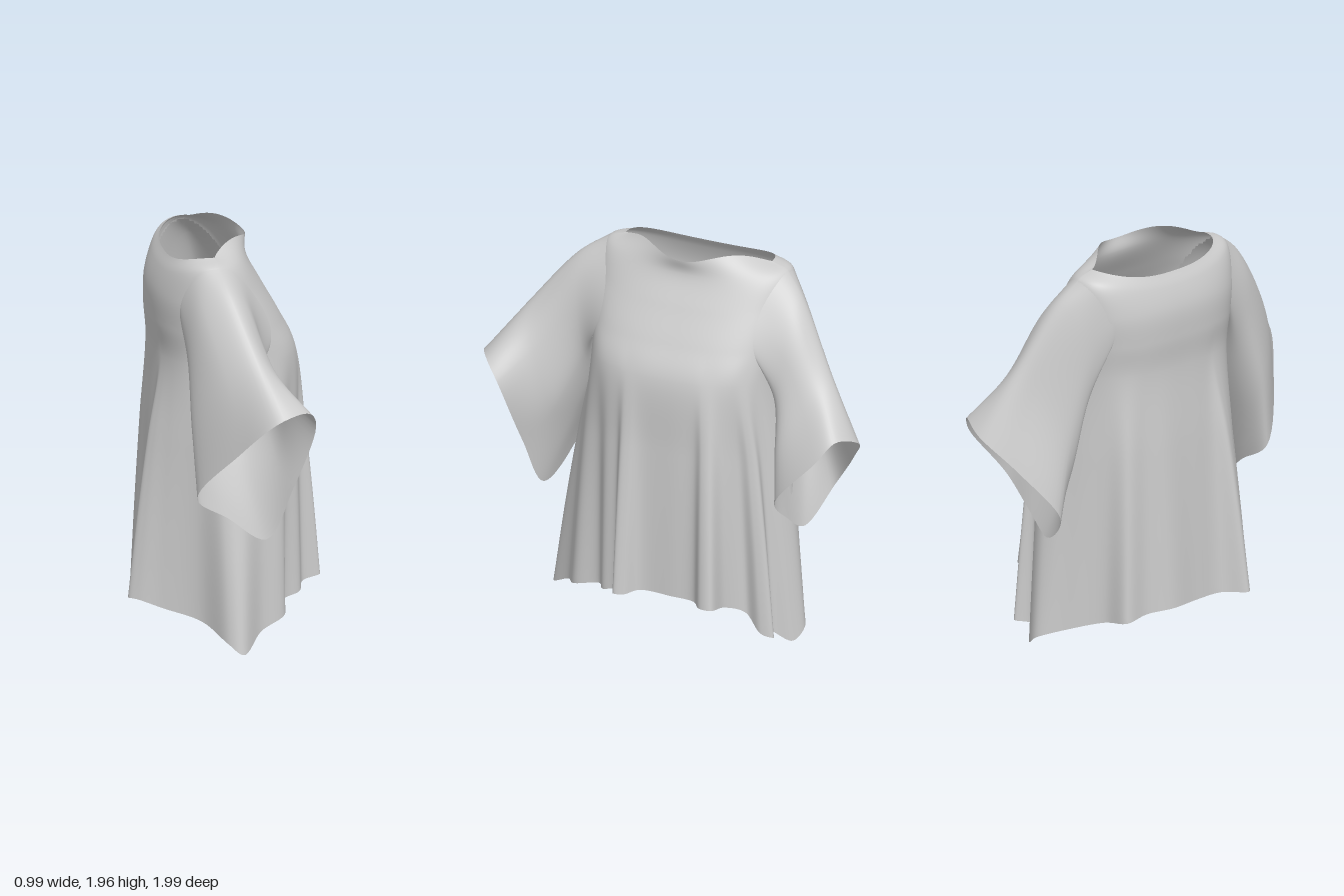
import * as THREE from 'three';

const V = (p) => new THREE.Vector3(...p);
const fabric = new THREE.MeshStandardMaterial({ color: 0xcccccc, side: THREE.DoubleSide });

// Smooth closed loop of n points through a few control points
function closedLoop(points, n) {
  const curve = new THREE.CatmullRomCurve3(points.map(V), true);
  return Array.from({ length: n }, (_, i) => curve.getPoint(i / n));
}

// Skin of smooth columns through matching closed rings; cut(column, ring) leaves faces out
function loft(name, rings, rows, flip, cut = () => false) {
  const n = rings[0].length, pos = [], index = [];
  const columns = rings[0].map((_, j) => new THREE.CatmullRomCurve3(rings.map((r) => r[j])));
  for (let i = 0; i <= rows; i++) {
    for (const column of columns) pos.push(...column.getPoint(i / rows).toArray());
  }
  for (let i = 0; i < rows; i++) {
    for (let j = 0; j < n; j++) {
      if (cut(j, i / rows * (rings.length - 1))) continue;
      const a = i * n + j, b = i * n + (j + 1) % n, c = a + n, d = b + n;
      if (flip) index.push(a, c, b, b, c, d);
      else index.push(a, b, c, b, d, c);
    }
  }
  const geo = new THREE.BufferGeometry();
  geo.setAttribute('position', new THREE.Float32BufferAttribute(pos, 3));
  geo.setIndex(index);
  geo.computeVertexNormals();
  const mesh = new THREE.Mesh(geo, fabric);
  mesh.name = name;
  return mesh;
}

// Point on a rounded ring: front/back depth, half width, corner exponents
function ringPoint(a, r) {
  const c = Math.cos(a), s = Math.sin(a);
  const e = c > 0 ? r.ef : r.eb;
  const ez = (c > 0 && r.efz) || e;
  const x = r.cx + (c > 0 ? r.xf - r.cx : r.cx - r.xb) * Math.sign(c) * Math.abs(c) ** e;
  const z = -0.05 + r.w * Math.sign(s) * Math.abs(s) ** ez;
  const wave = c > 0 ? (r.wave || 0) * (Math.sin(2 * a) * c) ** 2 : 0;
  const y = r.y + ((c > 0 ? r.yf : r.yb) - r.y) * c * c + wave;
  return new THREE.Vector3(x, y, z);
}

// Folded hem, running from the chest side round to the back
const hem = [
  [0.39, 0.26, -0.12], [0.39, 0.26, 0.05], [0.45, 0.25, 0.11], [0.46, 0.25, 0.16], [0.37, 0.23, 0.19],
  [0.34, 0.2, 0.27], [0.25, 0.18, 0.33], [0.23, 0.14, 0.47], [0.1, 0.09, 0.56], [-0.01, 0.01, 0.69],
  [-0.08, 0.06, 0.66], [-0.18, 0.13, 0.48], [-0.35, 0.17, 0.35], [-0.46, 0.2, 0.28], [-0.5, 0.2, 0.23],
  [-0.41, 0.2, 0.14], [-0.4, 0.2, -0.02], [-0.41, 0.2, -0.2], [-0.36, 0.19, -0.33], [-0.35, 0.17, -0.46],
  [-0.22, 0.15, -0.48], [-0.08, 0.11, -0.59], [0.05, 0.06, -0.68], [0.13, 0.01, -0.65], [0.19, 0.07, -0.57],
  [0.27, 0.08, -0.61], [0.29, 0.1, -0.55], [0.26, 0.18, -0.46], [0.36, 0.24, -0.39], [0.48, 0.27, -0.37],
  [0.48, 0.27, -0.31], [0.4, 0.26, -0.24],
];

// Neckline, shoulders, upper chest, and bust line
const bodyRings = [
  { cx: -0.09, xf: 0.125, xb: -0.275, w: 0.39, y: 1.925, yf: 1.94, yb: 1.87, wave: 0.06, ef: 3.2, efz: 1, eb: 0.8 },
  { cx: -0.09, xf: 0.115, xb: -0.31, w: 0.485, y: 1.885, yf: 1.87, yb: 1.81, ef: 1.2, efz: 0.9, eb: 0.85 },
  { cx: -0.07, xf: 0.19, xb: -0.345, w: 0.5, y: 1.72, yf: 1.72, yb: 1.7, ef: 0.8, eb: 0.78 },
  { cx: -0.03, xf: 0.28, xb: -0.35, w: 0.49, y: 1.56, yf: 1.56, yb: 1.56, ef: 0.75, eb: 0.75 },
  { cx: 0, xf: 0.355, xb: -0.34, w: 0.48, y: 1.4, yf: 1.4, yb: 1.4, ef: 0.75, eb: 0.75 },
];

// Armhole: an oval in angle and ring number on each side of the body
const armhole = { spread: 0.7, ring: 2.4, reach: 1.5 };

function makeBody() {
  const n = 248, hemRing = closedLoop(hem, n);
  const raw = hemRing.map((p) => Math.atan2((p.z + 0.05) / 0.66, p.x / 0.42));
  // Smoothed angles keep the columns evenly spread above the folds
  const angles = raw.map((_, j) => {
    let s = 0, c = 0;
    for (let k = -9; k <= 9; k++) {
      const a = raw[(j + k + n) % n];
      s += Math.sin(a);
      c += Math.cos(a);
    }
    return Math.atan2(s, c);
  });
  const rings = bodyRings.map((r) => angles.map((a) => ringPoint(a, r)));
  const bust = rings[rings.length - 1];
  // Folds grow from the bust line down to the hem, with a slight outward belly
  for (const [t, ty] of [[0.4, 0.33], [0.73, 0.67]]) {
    rings.push(bust.map((p, j) => {
      const q = p.clone().lerp(hemRing[j], t);
      q.y = THREE.MathUtils.lerp(p.y, hemRing[j].y, ty);
      return q;
    }));
  }
  rings.push(hemRing);
  const inArmhole = (j, ring) => Math.hypot((Math.abs(angles[j]) - Math.PI / 2) / armhole.spread,
    (ring - armhole.ring) / armhole.reach) < 0.9;
  return loft('tunicBody', rings, 84, false, inArmhole);
}

// Sleeve rings from upper arm to cuff, each:
// top, upper front, front, lower front, bottom, lower back, back, upper back
const leftSleeve = [
  [[-0.06, 1.795, 0.57], [0.03, 1.74, 0.55], [0.1, 1.56, 0.52], [0.11, 1.34, 0.48],
    [0, 1.22, 0.47], [-0.17, 1.27, 0.46], [-0.25, 1.47, 0.47], [-0.19, 1.69, 0.55]],
  [[0.03, 1.53, 0.79], [0.12, 1.47, 0.76], [0.18, 1.33, 0.71], [0.16, 1.04, 0.62],
    [0.02, 0.93, 0.57], [-0.16, 0.98, 0.56], [-0.25, 1.16, 0.59], [-0.12, 1.4, 0.75]],
  [[0.12, 1.26, 0.99], [0.27, 1.28, 0.92], [0.32, 1.19, 0.84], [0.22, 0.85, 0.75],
    [0.1, 0.59, 0.69], [-0.08, 0.69, 0.63], [-0.23, 0.79, 0.64], [-0.06, 1.07, 0.86]],
];
const rightSleeve = [
  [[-0.05, 1.78, -0.63], [0.05, 1.72, -0.63], [0.15, 1.54, -0.61], [0.17, 1.32, -0.57],
    [0.02, 1.22, -0.54], [-0.14, 1.25, -0.54], [-0.2, 1.48, -0.55], [-0.14, 1.7, -0.6]],
  [[0.05, 1.45, -0.82], [0.14, 1.41, -0.8], [0.21, 1.3, -0.74], [0.25, 1.06, -0.61],
    [0.1, 0.95, -0.58], [-0.1, 0.92, -0.6], [-0.16, 1.1, -0.66], [-0.04, 1.34, -0.77]],
  [[0.13, 1.15, -1], [0.27, 1.2, -0.94], [0.33, 1.1, -0.86], [0.3, 0.83, -0.63],
    [0.15, 0.68, -0.63], [0, 0.58, -0.66], [-0.17, 0.74, -0.74], [-0.04, 0.98, -0.9]],
];

function makeSleeve(name, side, sleeveRings) {
  const n = 64;
  // The first ring lies on the body around the armhole
  const seam = Array.from({ length: n }, (_, j) => {
    const phi = j / n * Math.PI * 2;
    const a = side * (Math.PI / 2 - armhole.spread * Math.sin(phi));
    const column = new THREE.CatmullRomCurve3(bodyRings.map((r) => ringPoint(a, r)));
    return column.getPoint((armhole.ring - armhole.reach * Math.cos(phi)) / (bodyRings.length - 1));
  });
  const rings = sleeveRings.map((r) => closedLoop(r, n));
  return loft(name, [seam, ...rings], 36, side > 0);
}

export function createModel() {
  const group = new THREE.Group();
  group.name = 'drapedTunic';
  group.add(makeBody(), makeSleeve('sleeveFrontSide', 1, leftSleeve), makeSleeve('sleeveRearSide', -1, rightSleeve));
  return group;
}
